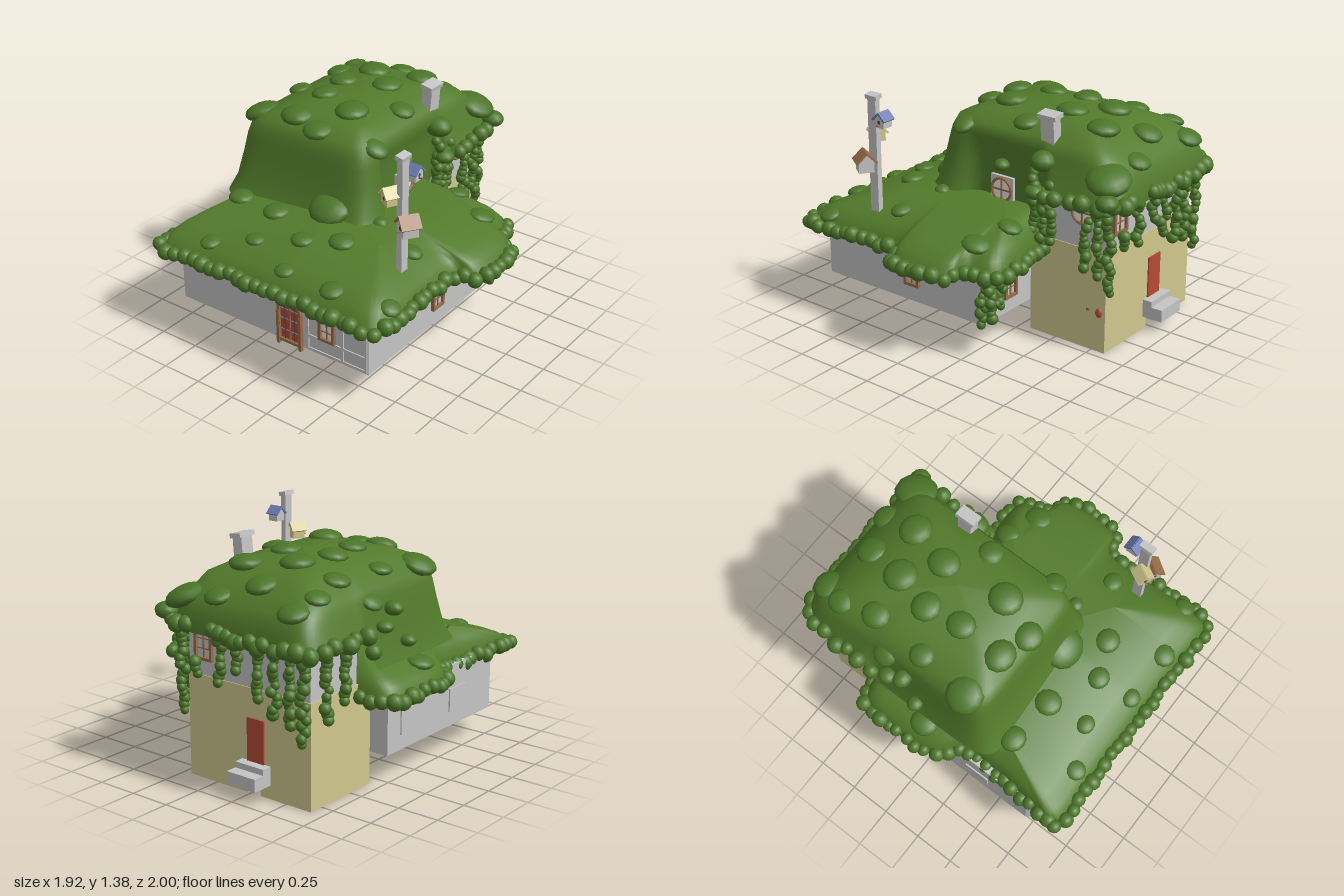
import * as THREE from 'three';
import { mergeGeometries } from 'three/addons/utils/BufferGeometryUtils.js';

export function createModel() {
  const model = new THREE.Group();
  model.name = 'mossRoofCottage';
  const mat = (name, color, side = THREE.FrontSide) => {
    const m = new THREE.MeshStandardMaterial({ color, side });
    m.name = name;
    return m;
  };
  const M = {
    moss: mat('mossGreen', 0x527a2b, THREE.DoubleSide),
    leaf: mat('leafGreen', 0x4b7528),
    plaster: mat('greyPlaster', 0xc4c4c4),
    ochre: mat('ochreWall', 0xd0c78d),
    wood: mat('brownWood', 0x996b47),
    red: mat('redPaint', 0xb64a35),
    blue: mat('bluePaint', 0x6c7cb2),
    glass: mat('paleGlass', 0xfafafa),
    dark: mat('darkHole', 0x4a4440),
  };
  let seed = 7;
  const rnd = () => (seed = (seed * 16807) % 2147483647) / 2147483647;
  const add = (geo, m, name, x = 0, y = 0, z = 0, parent = model) => {
    const mesh = new THREE.Mesh(geo, m);
    mesh.name = name;
    mesh.position.set(x, y, z);
    parent.add(mesh);
    return mesh;
  };
  // box given by its limits
  const box = (name, m, x0, x1, y0, y1, z0, z1, parent) =>
    add(new THREE.BoxGeometry(x1 - x0, y1 - y0, z1 - z0), m, name,
      (x0 + x1) / 2, (y0 + y1) / 2, (z0 + z1) / 2, parent);

  // Walls; the front left corner of the house is cut off
  const plan = new THREE.Shape([[-0.79, 0.32], [-0.79, -0.72], [-0.7, -0.85], [0.64, -0.85], [0.64, 0.32]]
    .map(([x, y]) => new THREE.Vector2(x, y)));
  add(new THREE.ExtrudeGeometry(plan, { depth: 0.37, bevelEnabled: false }).rotateX(-Math.PI / 2),
    M.plaster, 'mainHouse', 0, 0.19, 0);
  box('towerBase', M.ochre, -0.67, 0.2, 0.19, 0.61, -0.84, -0.32);
  box('towerFoot', M.ochre, -0.67, -0.32, 0, 0.19, -0.84, -0.32);
  box('towerFoot', M.ochre, -0.23, 0.2, 0, 0.19, -0.84, -0.32);
  box('towerUpper', M.plaster, -0.665, 0.195, 0.61, 0.98, -0.835, -0.44);
  box('backStepUpper', M.plaster, -0.39, -0.19, 0.08, 0.19, -0.9, -0.84);
  box('backStepLower', M.plaster, -0.39, -0.19, 0.08, 0.155, -0.97, -0.9);
  box('backDoor', M.red, -0.35, -0.23, 0.19, 0.44, -0.848, -0.84);
  for (const x of [0.22, 0.46, 0.62]) box('wallBatten', M.plaster, x, x + 0.015, 0.2, 0.5, 0.85, 0.858);
  for (const y of [0.2, 0.285]) box('wallRail', M.plaster, 0.22, 0.635, y, y + 0.014, 0.85, 0.857);
  for (const z of [-0.2, 0.28]) box('leftWallPanel', M.plaster, -0.798, -0.79, 0.28, 0.42, z, z + 0.16);

  // Closed surface through rings of points, ended in one centre point
  const loft = (rings, centre) => {
    const n = rings[0].length, idx = [];
    const pts = [...rings, rings[0].map(() => centre)].flat();
    for (let r = 0; r < rings.length; r++) for (let i = 0; i < n; i++) {
      const a = r * n + i, b = r * n + (i + 1) % n;
      idx.push(a, b, a + n, b, b + n, a + n);
    }
    const g = new THREE.BufferGeometry().setFromPoints(pts);
    g.setIndex(idx);
    g.computeVertexNormals();
    return g;
  };
  const V = (x, y, z) => new THREE.Vector3(x, y, z);
  const { lerp, clamp, smoothstep } = THREE.MathUtils;

  // Lower roof: eave outline drawn in towards an inner rectangle, highest in the middle
  const eave = new THREE.CatmullRomCurve3([
    [-0.79, 0.93], [-0.4, 0.94], [0, 0.94], [0.4, 0.94], [0.72, 0.93], [0.76, 0.84], [0.75, 0.35],
    [0.77, 0.18], [0.88, 0.14], [0.91, -0.05], [0.87, -0.24], [0.76, -0.28], [0.71, -0.44], [0.5, -0.47],
    [0.25, -0.42], [-0.3, -0.42], [-0.86, -0.42], [-0.91, -0.2], [-0.88, 0.11], [-0.76, 0.24],
    [-0.75, 0.45], [-0.79, 0.82],
  ].map(([x, z]) => V(x, 0, z)), true, 'centripetal');
  const outline = eave.getSpacedPoints(180).slice(0, 180);
  const lowerRings = [[0, 0.51], [0.04, 0.56], [0.14, 0.615], [0.32, 0.655], [0.6, 0.69], [1, 0.725]].map(([t, y]) =>
    outline.map(p => {
      const x = lerp(p.x, clamp(p.x, -0.6, 0.42), t);
      return V(x, y + t * 0.05 * (1 - Math.abs(x - 0.05) / 0.7), lerp(p.z, clamp(p.z, -0.3, 0.45), t));
    }));
  const lowerRoof = add(loft(lowerRings, V(-0.1, 0.79, 0.1)), M.moss, 'lowerRoof');

  // Upper roof: rounded rectangles [x0, x1, z0, z1, front y, back y, x limit of the right recess]
  const upperRings = [
    [-0.77, 0.31, -0.94, 0.44, 0.7, 0.88, 0.18], [-0.74, 0.27, -0.94, 0.385, 0.79, 0.95, 0.18],
    [-0.71, 0.24, -0.91, 0.345, 0.95, 1.03, 0.18], [-0.69, 0.22, -0.88, 0.325, 1.06, 1.07, 0.18],
    [-0.67, 0.21, -0.84, 0.31, 1.12, 1.11, 0.215],
    [-0.61, 0.18, -0.77, 0.28, 1.185, 1.17, 0.18], [-0.48, 0.07, -0.64, 0.17, 1.235, 1.23, 0.1],
    [-0.33, -0.06, -0.48, 0, 1.265, 1.26, 0],
  ].map(([x0, x1, z0, z1, yf, yb, xr]) => Array.from({ length: 200 }, (_, i) => {
    const a = i / 200 * Math.PI * 2, c = Math.cos(a), s = Math.sin(a);
    const r = (Math.abs(c) ** 9 + Math.abs(s) ** 9) ** (-1 / 9);
    const x = (x0 + x1) / 2 + (x1 - x0) / 2 * c * r;
    const z = (z0 + z1) / 2 + (z1 - z0) / 2 * s * r;
    const recess = smoothstep(z, -0.46, -0.4) * (1 - smoothstep(z, 0.08, 0.2));
    const y = lerp(yb, yf, smoothstep(z, -0.48, -0.38));
    return V(lerp(x, Math.min(x, xr), recess), y, z);
  }));
  const upperRoof = add(loft(upperRings, V(-0.18, 1.275, -0.22)), M.moss, 'upperRoof');

  // Leaf balls, merged into one mesh for each group
  const ball = (x, y, z, rx, ry = rx, normal = V(0, 1, 0)) =>
    new THREE.SphereGeometry(1, 12, 8).scale(rx, ry, rx * (0.85 + rnd() * 0.25))
      .applyQuaternion(new THREE.Quaternion().setFromUnitVectors(V(0, 1, 0), normal)).translate(x, y, z);
  const j = s => (rnd() - 0.5) * s;
  add(mergeGeometries(eave.getSpacedPoints(92).slice(0, 92).map(p =>
    ball(p.x + j(0.02), 0.54 + j(0.03), p.z + j(0.02), 0.04 + rnd() * 0.012))), M.leaf, 'lowerEaveLeaves');
  const rim = [];
  upperRings[0].forEach((p, i) => {
    if (p.z < -0.42 && i % 3 === 0 && !(p.z < -0.9 && p.x > -0.03 && p.x < 0.11))
      rim.push(ball(p.x + j(0.03), Math.max(p.y, 0.8) + 0.02 + j(0.05), p.z + j(0.02), 0.04 + rnd() * 0.016));
  });
  for (const [x, y, z, r] of [[-0.75, 0.92, -0.3, 0.05], [-0.73, 1, -0.2, 0.06], [-0.76, 0.8, -0.1, 0.05],
    [0.28, 0.9, -0.4, 0.06], [0.29, 0.75, 0.26, 0.05], [0.2, 0.97, -0.11, 0.05], [0.3, 0.96, -0.9, 0.07],
    [0.22, 1.07, -0.42, 0.085], [0.3, 0.9, -0.5, 0.05]]) rim.push(ball(x, y, z, r, r * 0.7));
  add(mergeGeometries(rim), M.leaf, 'upperEaveLeaves');

  // Moss cushions resting on the roof surface, leaning with its slope: [x, z, radius]
  const ray = new THREE.Raycaster();
  const cushions = [
    [-0.57, -0.86, 0.09], [-0.28, -0.77, 0.09], [-0.05, -0.86, 0.08], [0.2, -0.84, 0.13], [-0.05, -0.63, 0.1],
    [-0.32, -0.52, 0.1], [-0.57, -0.5, 0.08], [-0.12, -0.37, 0.09], [-0.38, -0.29, 0.09], [-0.6, -0.15, 0.07],
    [-0.35, -0.07, 0.08], [-0.08, 0.03, 0.1], [0.1, -0.21, 0.08], [-0.63, 0.17, 0.11], [-0.35, 0.2, 0.1],
    [-0.16, 0.25, 0.09], [0.19, 0.17, 0.08], [-0.79, -0.02, 0.08], [0.02, 0.38, 0.13], [-0.57, 0.46, 0.08],
    [-0.28, 0.49, 0.08], [0.23, 0.54, 0.08], [0.02, 0.63, 0.07], [-0.24, 0.73, 0.06], [-0.48, 0.84, 0.06],
    [0.06, 0.84, 0.06], [0.39, 0.84, 0.07], [0.72, 0.76, 0.06], [0.56, 0.34, 0.07], [0.42, -0.34, 0.07],
    [0.63, -0.27, 0.08], [-0.69, -0.35, 0.07], [-0.62, -0.72, 0.07]];
  add(mergeGeometries(cushions.map(([x, z, r]) => {
    ray.set(V(x, 3, z), V(0, -1, 0));
    const hit = ray.intersectObjects([lowerRoof, upperRoof])[0];
    const n = hit.face.normal.clone();
    if (n.y < 0) n.negate();
    return ball(x, hit.point.y, z, r, r * 0.45, n.lerp(V(0, 1, 0), 0.6).normalize());
  })), M.leaf, 'mossCushions');

  // Hanging vines: [x, z, top, bottom]
  const vines = [
    [0.22, -0.71, 0.78, 0.48], [0.23, -0.8, 0.86, 0.47], [0.22, -0.87, 0.9, 0.38], [0.1, -0.88, 0.7, 0.6],
    [-0.06, -0.87, 0.88, 0.58], [-0.2, -0.88, 0.88, 0.68], [-0.33, -0.87, 0.88, 0.54],
    [-0.45, -0.88, 0.88, 0.5], [-0.55, -0.87, 0.88, 0.44], [-0.65, -0.88, 0.9, 0.38], [-0.71, -0.76, 0.88, 0.5],
    [-0.71, -0.6, 0.88, 0.56], [0.25, -0.44, 0.9, 0.55], [0.24, -0.48, 0.95, 0.6],
    [0.25, -0.38, 1, 0.65], [0.66, -0.34, 0.52, 0.2], [0.64, -0.37, 0.52, 0.22], [0.58, -0.35, 0.52, 0.25],
    [0.53, -0.35, 0.52, 0.28]];
  add(mergeGeometries(vines.flatMap(([x, z, top, low]) => {
    const links = [];
    for (let y = top; y > low; y -= 0.034)
      links.push(ball(x + j(0.03), y, z + j(0.03), 0.025 + rnd() * 0.011));
    return links;
  })), M.leaf, 'hangingVines');

  // Arched opening of width w and height h, its base at the local origin
  const arch = (w, h) => {
    const s = new THREE.Shape();
    s.moveTo(-w / 2, 0).lineTo(w / 2, 0).lineTo(w / 2, h - w / 2);
    s.absarc(0, h - w / 2, w / 2, 0, Math.PI, false);
    return s.closePath();
  };
  const place = (name, x, y, z, turn) => {
    const g = new THREE.Group();
    g.name = name;
    g.position.set(x, y, z);
    g.rotation.y = turn;
    model.add(g);
    return g;
  };
  const archedUnit = (name, x, y, z, turn, w, h, fill, bars, rows) => {
    const g = place(name, x, y, z, turn);
    const frame = arch(w, h), hole = arch(w - 0.034, h - 0.034);
    frame.holes.push(new THREE.Path(hole.getPoints(16).map(p => p.add(new THREE.Vector2(0, 0.017)))));
    add(new THREE.ExtrudeGeometry(frame, { depth: 0.02, bevelEnabled: false, curveSegments: 16 }), M.wood, 'frame', 0, 0, 0, g);
    add(new THREE.ShapeGeometry(arch(w - 0.01, h - 0.01)), fill, 'panel', 0, 0.005, 0.005, g);
    box('uprightBar', M.wood, -0.004, 0.004, 0.01, h - 0.01, 0.004, 0.012, g);
    for (const r of rows) box('crossBar', bars, -w / 2 + 0.017, w / 2 - 0.017, h * r - 0.003, h * r + 0.003, 0.004, 0.01, g);
    return g;
  };
  const side = Math.PI / 2;
  const door = archedUnit('frontDoor', 0.105, 0.19, 0.85, 0, 0.17, 0.295, M.red, M.blue, [0.25, 0.5, 0.72]);
  for (const s of [-1, 1]) {
    box('doorPost', M.wood, s * 0.078 - 0.009, s * 0.078 + 0.009, -0.02, 0.2, 0, 0.025, door);
    box('doorPlankEdge', M.dark, s * 0.034 - 0.002, s * 0.034 + 0.002, 0.017, 0.25, 0.004, 0.011, door);
  }
  archedUnit('frontWindow', 0.365, 0.3, 0.85, 0, 0.11, 0.17, M.glass, M.wood, [0.35, 0.65]);
  archedUnit('sideWindow', 0.64, 0.29, 0.195, side, 0.11, 0.17, M.plaster, M.wood, [0.35, 0.65]);
  archedUnit('rearWindow', 0.4, 0.28, -0.32, Math.PI, 0.11, 0.17, M.plaster, M.wood, [0.35, 0.65]);
  archedUnit('towerBackWindow', 0.08, 0.7, -0.835, Math.PI, 0.13, 0.19, M.plaster, M.wood, [0.35, 0.65]);

  // Round windows on the right side
  box('windowPanel', M.plaster, 0.1, 0.2, 0.74, 0.9, -0.19, -0.03);
  for (const [x, z] of [[0.195, -0.67], [0.2, -0.11]]) {
    const g = place('roundWindow', x, 0.82, z, side);
    add(new THREE.TorusGeometry(0.068, 0.009, 8, 28), M.wood, 'frame', 0, 0, 0.004, g);
    add(new THREE.CircleGeometry(0.066, 28), M.glass, 'pane', 0, 0, 0.003, g);
    box('uprightBar', M.wood, -0.005, 0.005, -0.066, 0.066, 0, 0.009, g);
    box('crossBar', M.wood, -0.066, 0.066, -0.005, 0.005, 0, 0.009, g);
  }
  add(new THREE.SphereGeometry(0.022, 10, 8).scale(0.6, 1.3, 1), M.red, 'wallLantern', 0.205, 0.245, -0.8);
  box('wallHook', M.wood, 0.2, 0.208, 0.24, 0.255, -0.735, -0.715);

  // Chimney and tall post
  const chimney = place('chimney', 0.15, 1.05, -0.42, 0);
  chimney.rotation.z = -0.08;
  box('stack', M.plaster, -0.04, 0.026, 0, 0.27, -0.045, 0.045, chimney);
  add(new THREE.BoxGeometry(0.078, 0.026, 0.124), M.plaster, 'cap', -0.007, 0.272, 0, chimney).rotation.z = -0.1;
  box('post', M.plaster, 0.585, 0.62, 0.62, 1.36, 0.462, 0.522);
  add(new THREE.BoxGeometry(0.05, 0.025, 0.085), M.plaster, 'postCap', 0.602, 1.362, 0.492).rotation.z = -0.2;

  // Birdhouses fixed round the post, gable towards the given direction
  const birdhouse = (x, y, z, w, turn, body, roof) => {
    const g = place('birdhouse', x, y, z, turn);
    const s = new THREE.Shape([[-0.5, 0], [0.5, 0], [0.5, 0.75], [0, 1.25], [-0.5, 0.75]]
      .map(([a, b]) => new THREE.Vector2(a * w, b * w)));
    add(new THREE.ExtrudeGeometry(s, { depth: w, bevelEnabled: false }), body, 'body', 0, 0, -w / 2, g);
    for (const k of [-1, 1])
      add(new THREE.BoxGeometry(w * 0.95, 0.01, w * 1.3), roof, 'roofSlope', k * w * 0.33, w * 0.97, 0, g).rotation.z = -k * Math.PI / 4;
    add(new THREE.CircleGeometry(w * 0.16, 14), M.dark, 'entrance', 0, w * 0.5, w / 2 + 0.002, g);
    box('perch', M.wood, -0.004, 0.004, w * 0.2, w * 0.2 + 0.008, w / 2, w / 2 + 0.02, g);
  };
  birdhouse(0.66, 0.925, 0.52, 0.09, -0.6, M.plaster, M.wood);
  birdhouse(0.545, 1.08, 0.525, 0.075, -0.5, M.ochre, M.ochre);
  birdhouse(0.615, 1.2, 0.41, 0.068, side, M.plaster, M.blue);
  return model;
}
